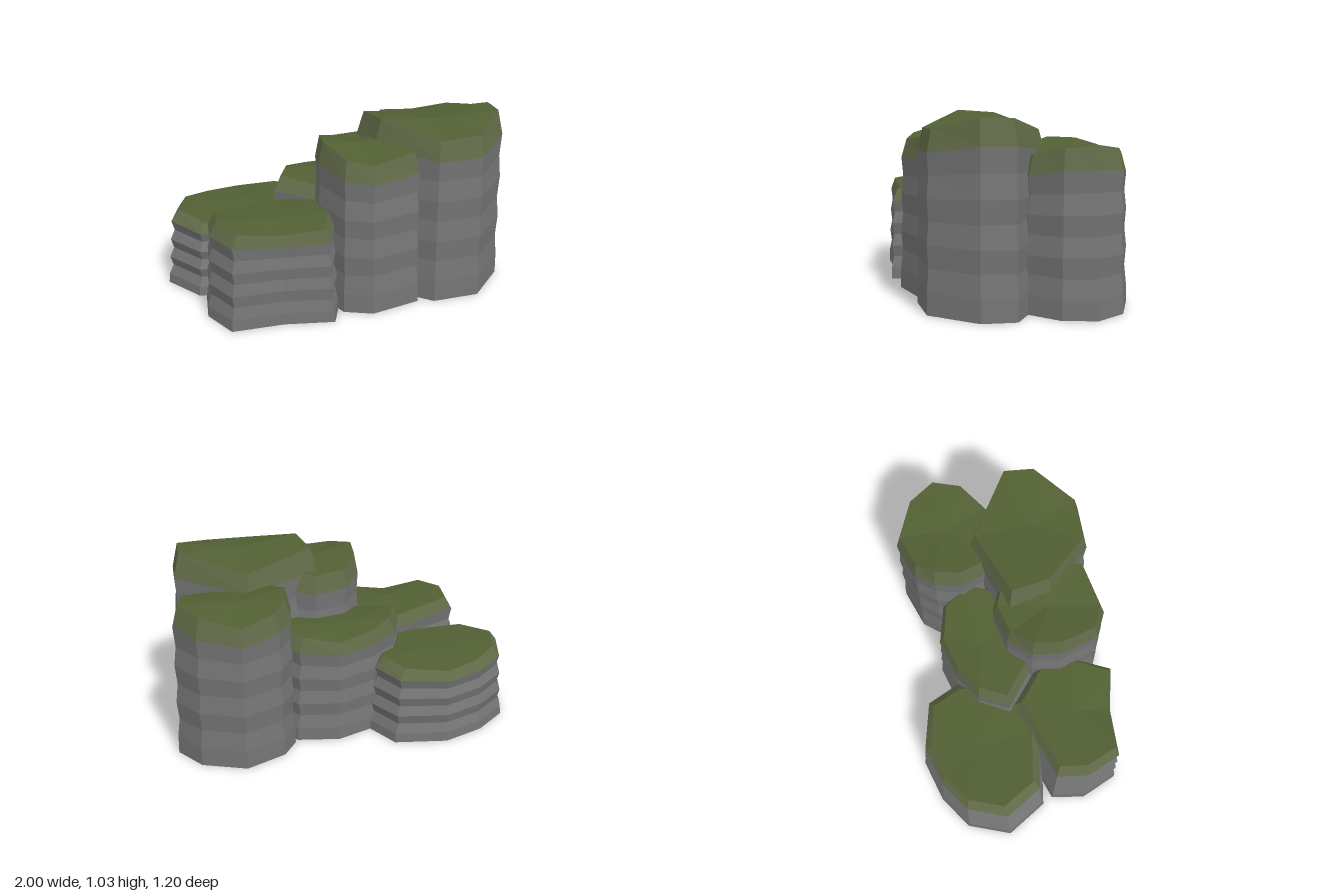
import * as THREE from 'three';

const LAYERS = 7;
const stone = new THREE.MeshStandardMaterial({ color: 0x757575, flatShading: true });
const thinMoss = new THREE.MeshStandardMaterial({ color: 0x616b48, flatShading: true });
const moss = new THREE.MeshStandardMaterial({ color: 0x525f33, flatShading: true });

// Each column: mean height and ground outline corners [x, z], clockwise from above
const columns = [
  { name: 'lowBackLeftRock', height: 0.43, outline: [
    [-1, -0.16], [-0.91, -0.4], [-0.72, -0.53], [-0.48, -0.6], [-0.19, -0.53],
    [-0.1, -0.33], [-0.15, 0], [-0.5, 0.13], [-0.86, 0.07]] },
  { name: 'lowFrontLeftRock', height: 0.54, outline: [
    [-0.86, 0.32], [-0.83, 0.13], [-0.33, -0.04], [-0.13, 0.13],
    [-0.12, 0.4], [-0.21, 0.6], [-0.48, 0.54], [-0.77, 0.53]] },
  { name: 'middleBackRock', height: 0.61, outline: [
    [-0.4, -0.04], [-0.31, -0.22], [-0.14, -0.33], [0.1, -0.4],
    [0.33, -0.34], [0.45, -0.15], [0.3, 0.13], [-0.15, 0.15]] },
  { name: 'frontCentreRock', height: 0.9, outline: [
    [-0.21, 0.28], [-0.18, 0.11], [-0.06, -0.02], [0.14, -0.07],
    [0.29, 0], [0.36, 0.25], [0.31, 0.52], [0.02, 0.58], [-0.13, 0.51]] },
  { name: 'tallFrontRightRock', height: 0.985, outline: [
    [0.09, 0.03], [0.54, -0.13], [0.92, 0.13], [0.9, 0.32],
    [0.67, 0.55], [0.4, 0.55], [0.12, 0.27]] },
  { name: 'backRightRock', height: 0.85, outline: [
    [0.31, -0.19], [0.35, -0.36], [0.44, -0.47], [0.67, -0.55],
    [0.9, -0.44], [1, -0.27], [0.95, -0.09], [0.78, 0.05], [0.42, 0.05]] },
];

function average(points) {
  return points[0].map((_, k) => points.reduce((sum, p) => sum + p[k], 0) / points.length);
}

function makeMesh(name, positions, index, material) {
  const geometry = new THREE.BufferGeometry();
  geometry.setAttribute('position', new THREE.Float32BufferAttribute(positions.flat(), 3));
  geometry.setIndex(index);
  geometry.computeVertexNormals();
  const mesh = new THREE.Mesh(geometry, material);
  mesh.name = name;
  return mesh;
}

// Wall of quads through successive rings
function wall(name, rings, material) {
  const n = rings[0].length;
  const index = [];
  for (let r = 0; r < rings.length - 1; r++) {
    for (let i = 0; i < n; i++) {
      const a = r * n + i, b = r * n + (i + 1) % n;
      index.push(a, a + n, b + n, a, b + n, b);
    }
  }
  return makeMesh(name, rings.flat(), index, material);
}

// Fan that closes a ring, facing up or down
function lid(name, ring, up, material) {
  const n = ring.length;
  const index = [];
  for (let i = 0; i < n; i++) {
    const next = (i + 1) % n;
    index.push(n, ...(up ? [next, i] : [i, next]));
  }
  return makeMesh(name, [...ring, average(ring)], index, material);
}

function buildColumn({ name, height, outline }) {
  const [cx, cz] = average(outline);
  // Low rocks are more tapered and more deeply ridged than tall ones
  const taper = 0.14 - 0.11 * height;
  const ridge = 0.064 - 0.036 * height;
  const ringAt = (t, scale) => outline.map(([x, z]) => {
    // Saddle-shaped top: raised at the sides, lower at front and back
    const saddle = 0.045 * height * Math.cos(2 * Math.atan2(z - cz, x - cx));
    return [cx + (x - cx) * scale, t * (height + saddle * t * t), cz + (z - cz) * scale];
  });
  const rings = [];
  for (let k = 0; k <= LAYERS; k++) {
    const t = 0.87 * k / LAYERS;
    const pinch = k > 0 && k % 2 === 0 ? ridge : 0;
    rings.push(ringAt(t, 1 - taper * t - pinch));
  }
  const rim = ringAt(1, 0.75 + 0.14 * height);
  const column = new THREE.Group();
  column.name = name;
  column.add(
    wall('layeredStone', rings, stone),
    lid('base', rings[0], false, stone),
    wall('mossyRim', [rings[LAYERS], rim], thinMoss),
    lid('mossyTop', rim, true, moss),
  );
  return column;
}

export function createModel() {
  const model = new THREE.Group();
  model.name = 'rockCluster';
  for (const column of columns) model.add(buildColumn(column));
  return model;
}
